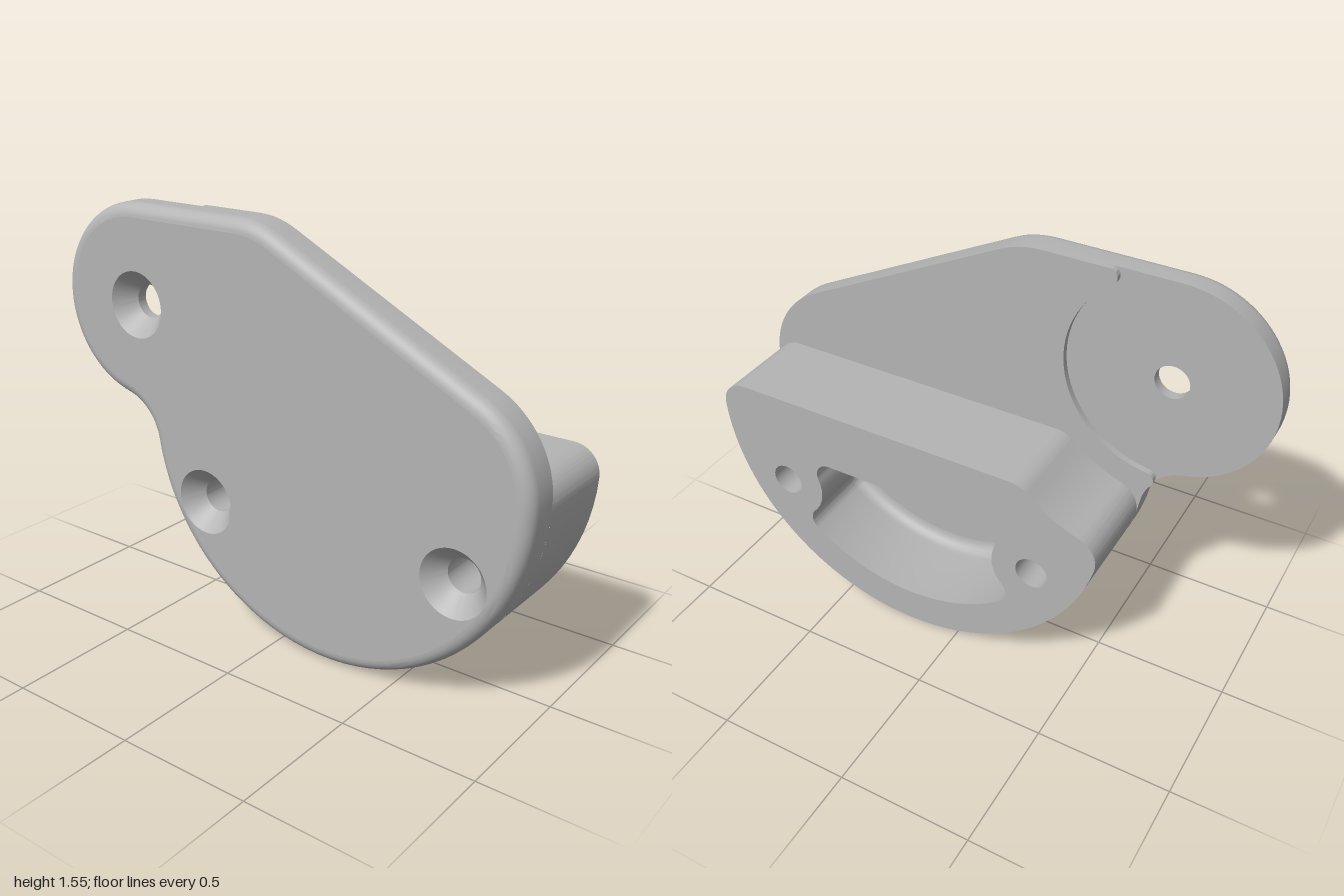
import * as THREE from 'three';
import { toCreasedNormals } from 'three/addons/utils/BufferGeometryUtils.js';

const V = (x, y) => new THREE.Vector2(x, y);
const ang = (a, b) => Math.atan2(b.y - a.y, b.x - a.x);
const UP = Math.PI / 2, TAU = Math.PI * 2;

// Centre lying at distance r1 from c1 and r2 from c2
function touch(c1, r1, c2, r2, side) {
  const u = c2.clone().sub(c1), d = u.length();
  u.divideScalar(d);
  const a = (r1 * r1 - r2 * r2 + d * d) / (2 * d);
  const h = side * Math.sqrt(r1 * r1 - a * a);
  return V(c1.x + a * u.x - h * u.y, c1.y + a * u.y + h * u.x);
}

// Closed counter-clockwise outline from arcs [centre, radius, start, end, clockwise]
function outline(arcs) {
  const pts = [];
  const add = (p) => {
    if (!pts.length || pts[pts.length - 1].distanceTo(p) > 0.002) pts.push(p);
  };
  for (const [c, r, a0, a1, cw] of arcs) {
    let sweep = (((a1 - a0) % TAU) + TAU) % TAU;
    if (cw) sweep -= TAU;
    const n = Math.max(6, Math.ceil(Math.abs(sweep) / 0.07));
    for (let i = 0; i <= n; i++) {
      const a = a0 + (sweep * i) / n;
      add(V(c.x + r * Math.cos(a), c.y + r * Math.sin(a)));
    }
  }
  if (pts[0].distanceTo(pts[pts.length - 1]) < 0.002) pts.pop();
  return pts;
}

const circle = (c, r) => Array.from({ length: 48 }, (_, i) =>
  V(c.x + r * Math.cos((i * TAU) / 48), c.y + r * Math.sin((i * TAU) / 48)));

// Move an outline inwards
function inset(pts, d) {
  const n = pts.length;
  return pts.map((p, i) => {
    const e1 = p.clone().sub(pts[(i + n - 1) % n]).normalize();
    const e2 = pts[(i + 1) % n].clone().sub(p).normalize();
    const t = e1.add(e2).normalize();
    return V(p.x - t.y * d, p.y + t.x * d);
  });
}

function flip(geo) {
  const ix = geo.index.array;
  for (let i = 0; i < ix.length; i += 3) [ix[i], ix[i + 1]] = [ix[i + 1], ix[i]];
  return geo;
}

// Wall through [inset, z] steps, front to back; inner walls face inwards
function wall(pts, steps, inner = false) {
  const n = pts.length, pos = [], idx = [];
  for (const [d, z] of steps) for (const p of inset(pts, d)) pos.push(p.x, p.y, z);
  for (let k = 0; k < steps.length - 1; k++) {
    for (let i = 0; i < n; i++) {
      const j = (i + 1) % n, a = k * n + i, b = k * n + j;
      idx.push(a, a + n, b, b, a + n, b + n);
    }
  }
  const geo = new THREE.BufferGeometry();
  geo.setAttribute('position', new THREE.Float32BufferAttribute(pos, 3));
  geo.setIndex(idx);
  return toCreasedNormals(inner ? flip(geo) : geo, 0.5);
}

// Flat face with holes, facing front or back
function face(pts, holes, z, back = false) {
  const shape = new THREE.Shape(pts);
  shape.holes = holes.map((h) => new THREE.Path(h));
  const geo = new THREE.ShapeGeometry(shape);
  if (back) {
    flip(geo);
    geo.computeVertexNormals();
  }
  return geo.translate(0, 0, z);
}

export function createModel() {
  const group = new THREE.Group();
  const grey = new THREE.MeshStandardMaterial({ color: 0xb4b4b4 });
  grey.name = 'grey';
  const add = (name, ...geos) => {
    const part = new THREE.Group();
    part.name = name;
    for (const g of geos) part.add(new THREE.Mesh(g, grey));
    group.add(part);
  };

  // Depth levels
  const FRONT = 0.24, RECESS = 0.127, PLATE = 0.103, BACK = -0.24, FLOOR = 0.08;

  // Main circles and screw positions
  const ear = V(-0.63, 1.18), big = V(0.21, 0.79), R = 0.79;
  const screwL = V(0.74, 0.48), screwR = V(-0.32, 0.48);
  const neck = touch(ear, 0.55, big, R + 0.18, -1);
  const shoulder = [[V(0.64, 0.79), 0.36, 0, 1.105], [V(-0.15, 1.21), 0.34, 1.105, UP]];

  // Cover plate with a rounded front rim
  const plate = outline([
    [ear, 0.37, UP, ang(ear, neck)],
    [neck, 0.18, ang(neck, ear), ang(neck, big), true],
    [big, R, ang(big, neck), 0],
    ...shoulder,
  ]);
  const rim = 0.05, rimSteps = [];
  for (let i = 0; i <= 8; i++) {
    const a = (i / 8) * UP;
    rimSteps.push([rim * (1 - Math.sin(a)), FRONT - rim * (1 - Math.cos(a))]);
  }
  const screws = [ear, screwL, screwR];
  const bores = screws.map((c) => circle(c, 0.0625));
  add('coverPlate',
    wall(plate, [...rimSteps, [0, RECESS]]),
    face(inset(plate, rim), screws.map((c) => circle(c, 0.125)), FRONT),
    face(plate, bores, RECESS, true));

  // Raised back layer, cut away around the ear
  const tipTop = V(-0.39, 1.52), tipLow = touch(ear, 0.415, neck, 0.21, 1);
  const raised = outline([
    [tipTop, 0.03, UP, ang(tipTop, ear)],
    [ear, 0.385, ang(ear, tipTop), ang(ear, tipLow), true],
    [tipLow, 0.03, ang(tipLow, ear), ang(tipLow, neck)],
    [neck, 0.18, ang(neck, tipLow), ang(neck, big), true],
    [big, R, ang(big, neck), 0],
    ...shoulder,
  ]);
  add('raisedBackLayer',
    wall(raised, [[0, RECESS], [0, PLATE]]),
    face(raised, bores.slice(1), PLATE, true));

  // Mounting block behind the lower half
  const cornerL = V(0.899, 0.76), cornerTop = V(0, 0.76);
  cornerTop.x = ear.x + Math.sqrt(0.58 ** 2 - (ear.y - 0.76) ** 2);
  const cornerR = touch(ear, 0.58, big, R - 0.1, -1);
  const block = outline([
    [cornerL, 0.1, ang(big, cornerL), UP],
    [cornerTop, 0.1, UP, ang(cornerTop, ear)],
    [ear, 0.48, ang(ear, cornerTop), ang(ear, cornerR), true],
    [cornerR, 0.1, ang(cornerR, ear), ang(big, cornerR)],
    [big, R, ang(big, cornerR), ang(big, cornerL)],
  ]);

  // Pocket curving around the two screw bosses
  const boss = 0.16, f = 0.06, depthR = 0.65;
  const dx = Math.sqrt((boss + f) ** 2 - 0.08 ** 2);
  const upL = V(screwL.x - dx, 0.56), upR = V(screwR.x + dx, 0.56);
  const lowL = touch(big, depthR - f, screwL, boss + f, -1);
  const lowR = touch(big, depthR - f, screwR, boss + f, 1);
  const pocket = outline([
    [upL, f, ang(upL, screwL), UP],
    [upR, f, UP, ang(upR, screwR)],
    [screwR, boss, ang(screwR, upR), ang(screwR, lowR), true],
    [lowR, f, ang(lowR, screwR), ang(big, lowR)],
    [big, depthR, ang(big, lowR), ang(big, lowL)],
    [lowL, f, ang(big, lowL), ang(lowL, screwL)],
    [screwL, boss, ang(screwL, lowL), ang(screwL, upL), true],
  ]);
  const fillet = 0.05, pocketSteps = [];
  for (let i = 0; i <= 6; i++) {
    const a = (i / 6) * UP;
    pocketSteps.push([fillet * (1 - Math.sin(a)), FLOOR - fillet * (1 - Math.cos(a))]);
  }
  add('mountingBlock',
    wall(block, [[0, PLATE], [0, BACK]]),
    face(block, [pocket, ...bores.slice(1)], BACK, true));
  add('pocket',
    wall(pocket, [...pocketSteps, [0, BACK]], true),
    face(inset(pocket, fillet), [], FLOOR, true));

  // Countersunk screw holes
  screws.forEach((c, i) => add('screwHole' + (i + 1),
    wall(circle(c, 0.125),
      [[0, FRONT], [0.0625, 0.165], [0.0625, i ? BACK : RECESS]], true)));

  return group;
}
